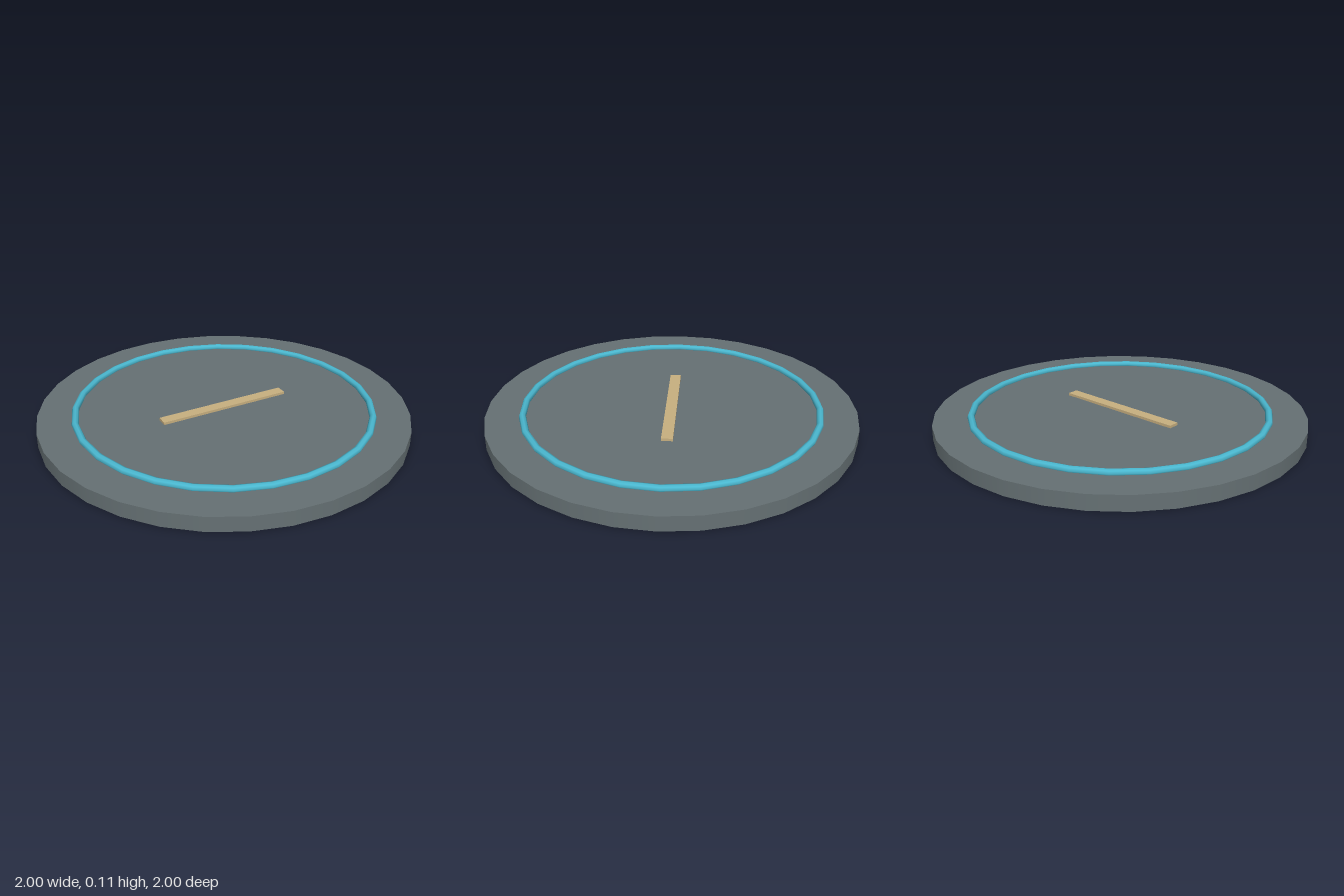
import * as THREE from 'three';

export function createModel() {
  const model = new THREE.Group();

  const add = (name, geometry, color, y) => {
    const mesh = new THREE.Mesh(geometry, new THREE.MeshStandardMaterial({ color }));
    mesh.name = name;
    mesh.position.y = y;
    model.add(mesh);
    return mesh;
  };

  // Round base plate
  const height = 0.08;
  add('basePlate', new THREE.CylinderGeometry(1, 1, height, 32), 0x667174, height / 2);

  // Ring half sunk into the top of the plate
  const ring = new THREE.TorusGeometry(0.8, 0.019, 8, 28).rotateX(-Math.PI / 2);
  add('inlaidRing', ring, 0x4ab8d0, 0.087);

  // Thin bar across the middle
  add('centreBar', new THREE.BoxGeometry(0.74, 0.02, 0.06), 0xc8b080, 0.084);

  return model;
}
